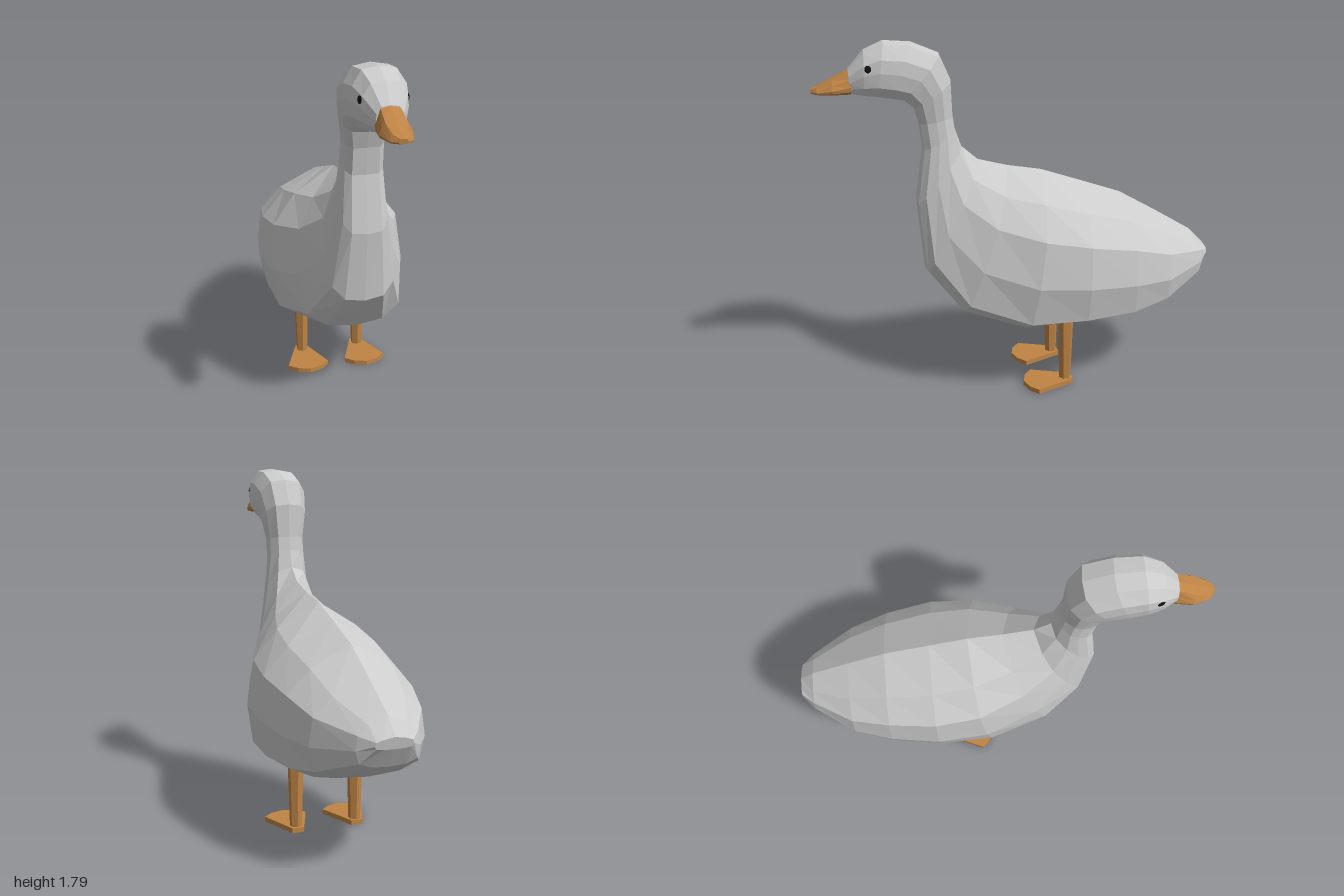
import * as THREE from 'three';

const mat = (color) => new THREE.MeshStandardMaterial({ color, flatShading: true });
const grey = mat(0xcccccc), orange = mat(0xbf8445), black = mat(0x111111);

// Half cross-sections from top to bottom: [fraction of half width, fraction of height]
const BODY = [[0, 1], [0.6, 0.84], [0.93, 0.65], [1, 0.36], [0.9, 0.11], [0.55, 0.025], [0, 0]];
const NECK = [[0, 1], [0.62, 0.95], [0.96, 0.7], [1, 0.46], [0.92, 0.2], [0.65, 0.02], [0, 0]];
const BEAK = [[0, 1], [0.65, 0.93], [0.85, 0.6], [1, 0.3], [0.95, 0.12], [0.6, 0], [0, 0]];

// Lofts rings of [top z, top y, bottom z, bottom y, half width, blend from section a to b]
function loft(rings, a, b) {
  const loops = rings.map(([zt, yt, zb, yb, w, k]) => {
    const half = a.map(([x, h], i) => {
      const f = h + (b[i][1] - h) * k;
      return new THREE.Vector3((x + (b[i][0] - x) * k) * w, yb + (yt - yb) * f, zb + (zt - zb) * f);
    });
    const mirrored = half.slice(1, -1).reverse().map((p) => new THREE.Vector3(-p.x, p.y, p.z));
    return [...half, ...mirrored];
  });
  const pos = [];
  const tri = (...pts) => pts.forEach((p) => pos.push(p.x, p.y, p.z));
  const n = loops[0].length;
  for (let i = 0; i < loops.length - 1; i++) {
    for (let j = 0; j < n; j++) {
      const m = (j + 1) % n, p = loops[i], q = loops[i + 1];
      tri(p[j], q[j], p[m]);
      tri(p[m], q[j], q[m]);
    }
  }
  // End caps
  const first = loops[0], last = loops[loops.length - 1];
  const middle = (l) => l.reduce((s, p) => s.add(p), new THREE.Vector3()).divideScalar(n);
  const c0 = middle(first), c1 = middle(last);
  for (let j = 0; j < n; j++) {
    const m = (j + 1) % n;
    tri(c0, first[j], first[m]);
    tri(c1, last[m], last[j]);
  }
  const g = new THREE.BufferGeometry();
  g.setAttribute('position', new THREE.Float32BufferAttribute(pos, 3));
  g.computeVertexNormals();
  return g;
}

function add(parent, name, geometry, material) {
  const mesh = new THREE.Mesh(geometry, material);
  mesh.name = name;
  parent.add(mesh);
  return mesh;
}

export function createModel() {
  const goose = new THREE.Group();
  goose.name = 'goose';

  // Body, neck and head as one skin, from tail to beak
  add(goose, 'bodyNeckAndHead', loft([
    [-0.995, 0.675, -0.985, 0.62, 0.09, 0],
    [-0.92, 0.75, -0.935, 0.53, 0.15, 0],
    [-0.72, 0.87, -0.72, 0.42, 0.28, 0],
    [-0.52, 0.985, -0.53, 0.365, 0.335, 0],
    [-0.29, 1.065, -0.27, 0.345, 0.37, 0],
    [-0.1, 1.13, 0.02, 0.33, 0.35, 0],
    [0.07, 1.16, 0.33, 0.43, 0.26, 0],
    [0.22, 1.2, 0.5, 0.65, 0.165, 0.2],
    [0.3, 1.27, 0.53, 1.0, 0.115, 0.7],
    [0.33, 1.36, 0.49, 1.27, 0.097, 1],
    [0.34, 1.43, 0.505, 1.4, 0.095, 1],
    [0.345, 1.6, 0.53, 1.48, 0.115, 1],
    [0.4, 1.73, 0.58, 1.52, 0.13, 1],
    [0.53, 1.785, 0.64, 1.53, 0.13, 1],
    [0.66, 1.795, 0.7, 1.54, 0.122, 1],
    [0.75, 1.755, 0.76, 1.545, 0.1, 1],
    [0.825, 1.67, 0.82, 1.555, 0.06, 1],
  ], BODY, NECK), grey);

  // Flat, tapering beak
  add(goose, 'beak', loft([
    [0.815, 1.672, 0.815, 1.553, 0.062, 0],
    [0.9, 1.628, 0.9, 1.553, 0.071, 0],
    [0.97, 1.592, 0.97, 1.555, 0.05, 0],
    [1.0, 1.582, 0.998, 1.56, 0.02, 0],
  ], BEAK, BEAK), orange);

  // Outline of a webbed foot, heel to toes, in x and -z
  const web = new THREE.Shape([
    [-0.03, 0.24], [-0.11, 0.04], [-0.065, 0], [0, -0.02], [0.065, 0], [0.11, 0.04], [0.03, 0.24],
  ].map(([x, y]) => new THREE.Vector2(x, y)));
  const footGeometry = new THREE.ExtrudeGeometry(web, { depth: 0.025, bevelEnabled: false });
  footGeometry.rotateX(-Math.PI / 2);
  const legGeometry = new THREE.CylinderGeometry(0.042, 0.03, 0.4, 6);
  const eyeGeometry = new THREE.SphereGeometry(0.02, 10, 8);

  for (const [side, s] of [['left', 1], ['right', -1]]) {
    const eye = add(goose, side + 'Eye', eyeGeometry, black);
    eye.position.set(s * 0.098, 1.675, 0.735);
    eye.scale.x = 0.5;
    eye.rotation.y = -s * 0.35;

    const leg = new THREE.Group();
    leg.name = side + 'Leg';
    leg.position.x = s * 0.158;
    add(leg, 'shank', legGeometry, orange).position.set(0, 0.215, -0.203);
    add(leg, 'foot', footGeometry, orange);
    goose.add(leg);
  }
  return goose;
}
